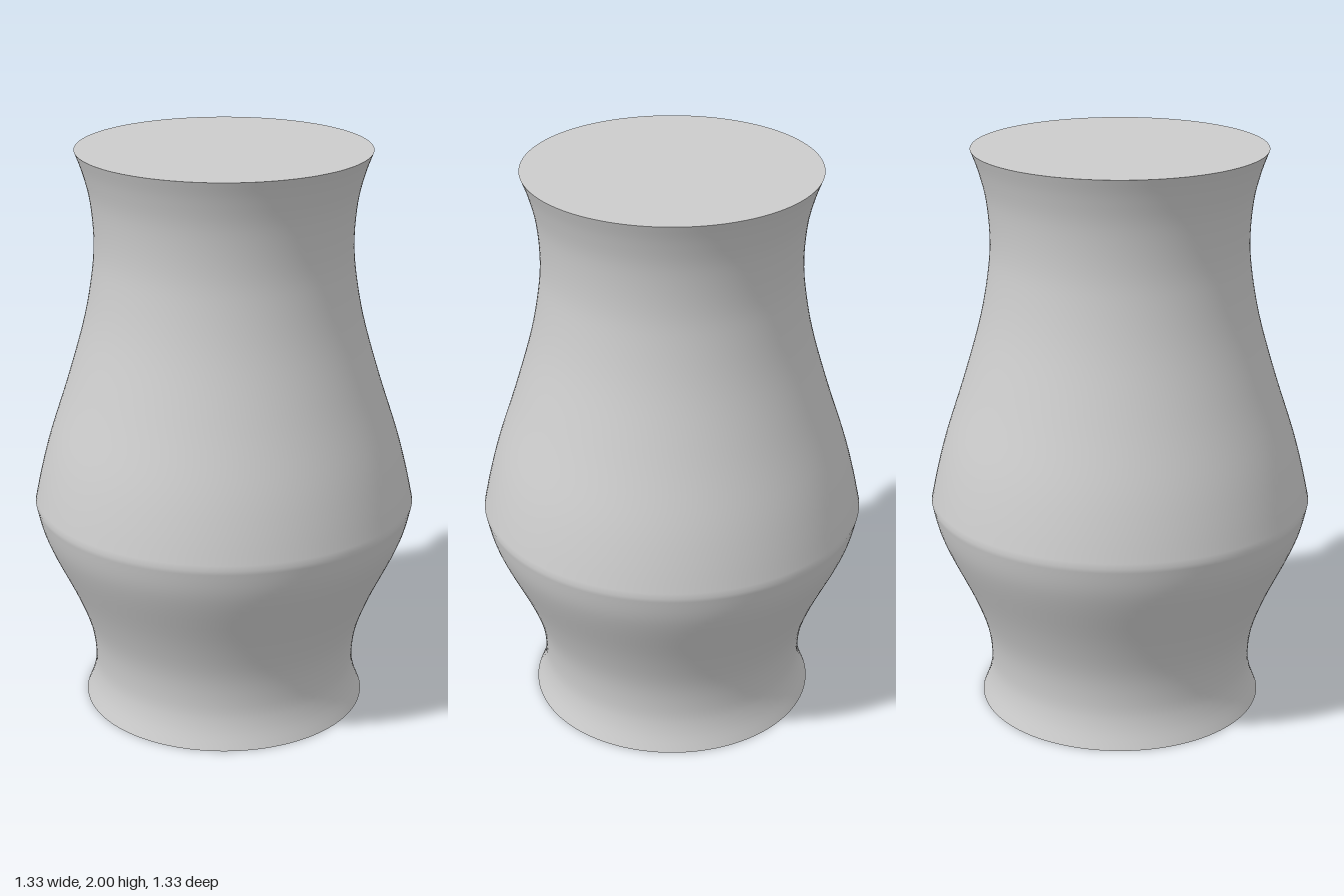
import * as THREE from 'three';

const SEGMENTS = 128;
const grey = new THREE.MeshStandardMaterial({ color: 0xcccccc });
grey.name = 'plain grey';

// Smooth run of profile points, given as [radius, height]
function smoothRun(pairs, divisions) {
  const curve = new THREE.SplineCurve(pairs.map(([r, y]) => new THREE.Vector2(r, y)));
  return curve.getPoints(divisions);
}

// Flat disc closing one end of the body
function endCap(name, radius, y, facing) {
  const cap = new THREE.Mesh(new THREE.CircleGeometry(radius, SEGMENTS), grey);
  cap.name = name;
  cap.rotation.x = -facing * Math.PI / 2;
  cap.position.y = y;
  return cap;
}

export function createModel() {
  const group = new THREE.Group();
  group.name = 'vase';

  // Flared foot rising to the shoulder ridge
  const lower = smoothRun([
    [0.5, 0], [0.475, 0.07], [0.465, 0.15], [0.48, 0.27], [0.53, 0.41],
    [0.61, 0.58], [0.645, 0.67], [0.665, 0.755],
  ], 28);
  // Shoulder narrowing to the neck, then flaring to the rim
  const upper = smoothRun([
    [0.665, 0.755], [0.64, 0.87], [0.605, 1], [0.54, 1.2], [0.48, 1.41],
    [0.449, 1.58], [0.441, 1.7], [0.451, 1.83], [0.475, 1.93], [0.5, 2],
  ], 40);

  const body = new THREE.Mesh(
    new THREE.LatheGeometry([...lower, ...upper.slice(1)], SEGMENTS), grey);
  body.name = 'body';

  group.add(body, endCap('top', 0.5, 2, 1), endCap('base', 0.5, 0, -1));
  return group;
}
